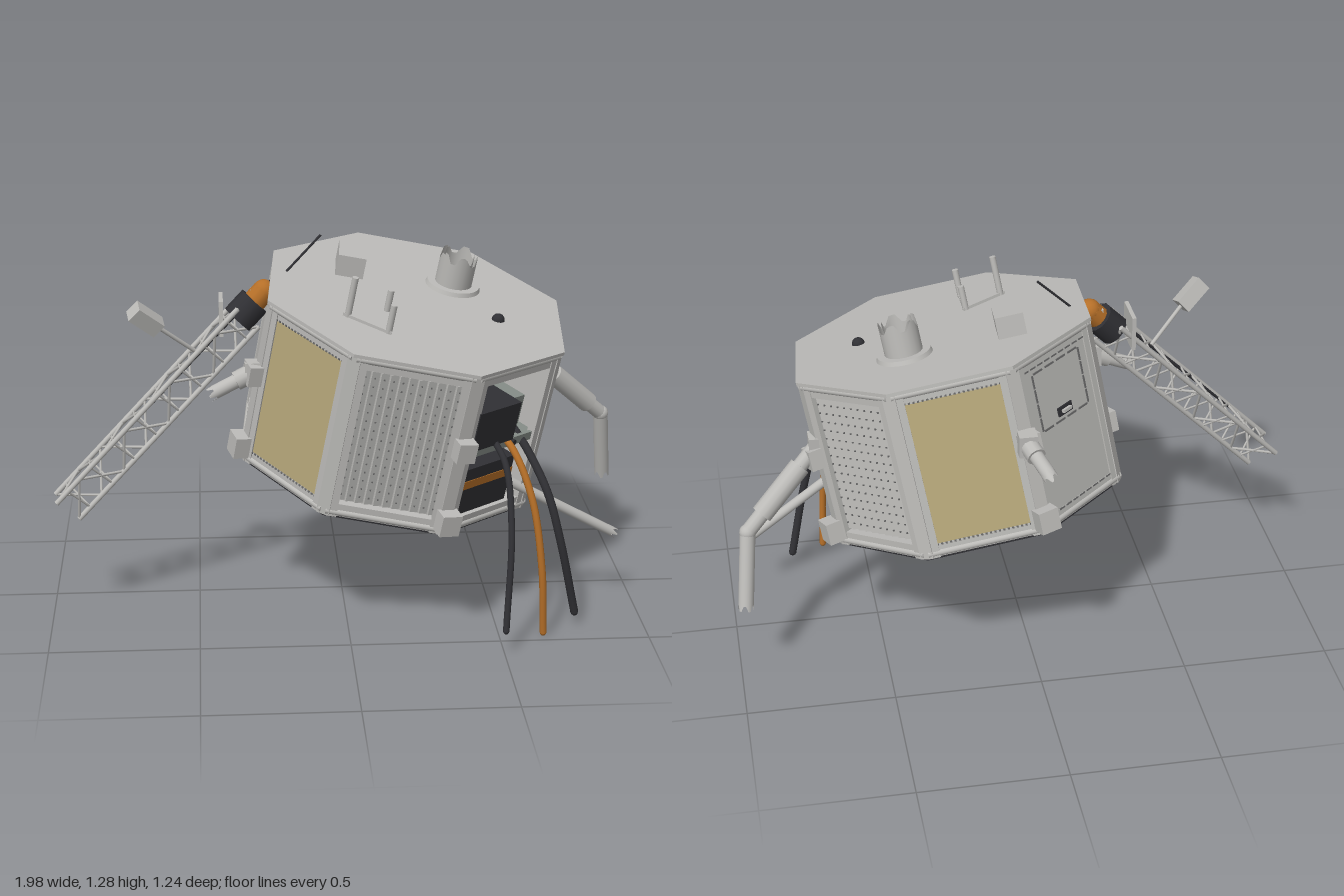
import * as THREE from 'three';
import { mergeGeometries } from 'three/addons/utils/BufferGeometryUtils.js';

const mat = (name, color) => {
  const m = new THREE.MeshStandardMaterial({ color, side: THREE.DoubleSide });
  m.name = name;
  return m;
};
const V = (x, y, z) => new THREE.Vector3(x, y, z);
const UP = V(0, 1, 0);
const rad = THREE.MathUtils.degToRad;

export function createModel() {
  const grey = mat('hull grey', 0xbcbbb8), gold = mat('foil gold', 0xb9aa7c);
  const dark = mat('dark plastic', 0x303034), orange = mat('orange', 0xb56f28);
  const shelfGrey = mat('shelf grey', 0x848c86), seam = mat('seam grey', 0x6a6a6a);

  const model = new THREE.Group();
  model.name = 'capsule';
  const R = 0.53, H = 0.6, START = 26.3;
  const APO = R * Math.cos(Math.PI / 8), W = 2 * R * Math.sin(Math.PI / 8);

  // tilted body frame; its origin is the centre of the roof
  const body = new THREE.Group();
  body.name = 'body';
  body.position.set(0.245, 1.07, 0.09);
  body.quaternion.setFromUnitVectors(UP, V(0.176, 1, 0.176).normalize());
  model.add(body);
  const inverse = body.quaternion.clone().invert();
  const toBody = (p) => p.sub(body.position).applyQuaternion(inverse);
  const onRoof = (x, z) => toBody(V(x, 1.129 - 0.176 * (x + z), z));

  const add = (parent, name, geo, material, x = 0, y = 0, z = 0) => {
    const m = new THREE.Mesh(geo, material);
    m.name = name;
    m.position.set(x, y, z);
    parent.add(m);
    return m;
  };
  const box = (parent, name, w, h, d, material, x, y, z) =>
    add(parent, name, new THREE.BoxGeometry(w, h, d), material, x, y, z);
  const place = (geo, a, b) => {
    const q = new THREE.Quaternion().setFromUnitVectors(UP, b.clone().sub(a).normalize());
    geo.applyQuaternion(q);
    const c = a.clone().add(b).multiplyScalar(0.5);
    return geo.translate(c.x, c.y, c.z);
  };
  const rodGeo = (a, b, r, sides = 12) => place(new THREE.CylinderGeometry(r, r, a.distanceTo(b), sides), a, b);
  const rod = (parent, name, a, b, r, material = grey) => add(parent, name, rodGeo(a, b, r), material);
  // open tube whose far end is torn into a zigzag
  const tornGeo = (a, b, r, tear) => {
    const L = a.distanceTo(b);
    const g = new THREE.CylinderGeometry(r, r, L, 20, 1, true);
    const p = g.attributes.position;
    for (let i = 0; i < 21; i++) if (i % 4 > 1) p.setY(i, L / 2 - tear);
    return place(g, a, b);
  };
  const tiles = (list) => mergeGeometries(list.map(([x, y, w, h]) => new THREE.BoxGeometry(w, h, 0.005).translate(x, y, 0)));
  // row of small marks around a rectangle
  const border = (w, h, n, a, b) => {
    const out = [];
    for (let i = 0; i < n; i++) {
      const t = (i + 0.5) / n - 0.5;
      for (const s of [-1, 1]) out.push([t * w, s * h / 2, a, b], [s * w / 2, t * h, b, a]);
    }
    return tiles(out);
  };

  // roof and floor
  const octagon = (name, r, h, y, material) => {
    const g = new THREE.CylinderGeometry(r, r, h, 8, 1, false, rad(90 - START)).toNonIndexed();
    g.computeVertexNormals();
    add(body, name, g, material, 0, y, 0);
  };
  octagon('roof', R + 0.006, 0.012, -0.006, grey);
  octagon('floor', R - 0.01, 0.012, -H + 0.004, dark);

  // corner posts, with bracket blocks on every second one
  for (let k = 0; k < 8; k++) {
    const a = rad(START + 45 * k);
    const corner = new THREE.Group();
    corner.name = 'corner' + k;
    corner.rotation.y = Math.PI / 2 - a;
    body.add(corner);
    box(corner, 'post', 0.045, H - 0.01, 0.03, grey, 0, -H / 2, R - 0.02);
    for (const s of [-1, 1]) {
      const edge = box(corner, 'postFlange', 0.028, H - 0.01, 0.03, grey, s * 0.026, -H / 2, R - 0.026);
      edge.rotation.y = s * Math.PI / 8;
    }
    if (k % 2) {
      box(corner, 'bracket', 0.07, 0.075, 0.07, grey, 0, -0.54, R + 0.005);
      box(corner, 'upperBracket', 0.065, 0.07, 0.06, grey, 0, -0.27, R + 0.005);
      box(corner, 'foot', 0.05, 0.06, 0.05, grey, 0, -H - 0.022, 0.28);
    }
  }

  // wall panels
  const kinds = ['bay', 'slats', 'foil', 'slats', 'hatch', 'foil', 'slats', 'foil'];
  const innerW = W - 0.07, innerH = H - 0.09;
  kinds.forEach((kind, k) => {
    const face = new THREE.Group();
    face.name = kind + 'Side' + k;
    const a = rad(START + 45 * k + 22.5);
    face.rotation.y = Math.PI / 2 - a;
    face.position.set(Math.cos(a) * APO, -H / 2, Math.sin(a) * APO);
    body.add(face);
    for (const s of [-1, 1]) {
      box(face, 'beam', W - 0.02, 0.045, 0.035, grey, 0, s * (H / 2 - 0.03), -0.02);
      add(face, 'beamRail', rodGeo(V(-W / 2 + 0.01, 0, 0), V(W / 2 - 0.01, 0, 0), 0.012), grey, 0, s * (H / 2 - 0.02), -0.008);
    }
    if (kind === 'foil') {
      box(face, 'foilPanel', innerW + 0.02, innerH + 0.02, 0.02, gold, 0, 0, -0.014);
      add(face, 'rivets', border(innerW - 0.01, innerH - 0.01, 22, 0.007, 0.006), seam, 0, 0, -0.003);
    } else if (kind === 'slats') {
      box(face, 'backing', innerW + 0.02, innerH + 0.02, 0.01, grey, 0, 0, -0.038);
      const n = 11, pitch = innerW / n, dots = [];
      for (let i = 0; i < n; i++) {
        const x = (i - (n - 1) / 2) * pitch;
        const slat = box(face, 'slat', pitch * 0.92, innerH - 0.03, 0.008, grey, x, 0, -0.024);
        slat.rotation.y = 0.4;
        for (let j = 0; j < 15; j++) dots.push([x, (j - 7) * 0.031, 0.005, 0.005]);
      }
      add(face, 'vents', tiles(dots), seam, 0, 0, -0.019);
    } else if (kind === 'hatch') {
      box(face, 'hatchPanel', innerW + 0.02, innerH + 0.02, 0.02, grey, 0, 0, -0.014);
      add(face, 'outerSeam', border(innerW - 0.01, innerH - 0.01, 9, 0.026, 0.005), seam, 0, 0, -0.003);
      add(face, 'doorSeam', border(0.24, 0.2, 4, 0.045, 0.006), seam, 0, 0.13, -0.003);
      box(face, 'latchPlate', 0.07, 0.03, 0.008, dark, 0, 0.06, -0.002);
      box(face, 'latch', 0.04, 0.01, 0.015, grey, 0, 0.06, 0.006);
    } else {
      // equipment bay
      box(face, 'backWall', 0.36, 0.56, 0.01, dark, 0, 0, -0.24);
      box(face, 'leftWall', 0.008, 0.56, 0.2, dark, -0.178, 0, -0.14);
      box(face, 'rightWall', 0.008, 0.56, 0.2, grey, 0.178, 0, -0.14);
      box(face, 'shelf', 0.36, 0.02, 0.22, shelfGrey, 0, -0.01, -0.125);
      box(face, 'shelfLip', 0.37, 0.03, 0.012, shelfGrey, 0, -0.01, -0.015);
      box(face, 'upperUnit', 0.2, 0.14, 0.17, dark, -0.06, 0.08, -0.08);
      box(face, 'sideUnit', 0.1, 0.11, 0.12, shelfGrey, 0.1, 0.06, -0.13);
      box(face, 'lowerUnit', 0.24, 0.17, 0.17, dark, -0.02, -0.16, -0.1);
      box(face, 'lowerUnitBand', 0.244, 0.03, 0.174, orange, -0.02, -0.135, -0.1);
      const knob = add(face, 'knob', new THREE.CylinderGeometry(0.01, 0.01, 0.012, 12), dark, 0.06, -0.01, -0.005);
      knob.rotation.x = Math.PI / 2;
    }
  });

  // roof fittings
  const at = (name, x, z) => {
    const g = new THREE.Group();
    g.name = name;
    g.position.copy(onRoof(x, z));
    body.add(g);
    return g;
  };
  const vent = at('ventPipe', 0.385, -0.075);
  add(vent, 'flange', new THREE.CylinderGeometry(0.09, 0.095, 0.014, 32), grey, 0, 0.007, 0);
  add(vent, 'pipe', tornGeo(V(0, 0, 0), V(0, 0.125, 0), 0.064, 0.028), grey);
  add(vent, 'pipeInner', tornGeo(V(0, 0, 0), V(0, 0.125, 0), 0.052, 0.028), grey);
  const block = at('roofBox', 0.03, -0.08);
  box(block, 'box', 0.095, 0.075, 0.135, grey, 0, 0.037, 0).rotation.y = -0.06;
  const dome = at('domeLight', 0.515, 0.145);
  add(dome, 'dome', new THREE.SphereGeometry(0.022, 16, 8, 0, Math.PI * 2, 0, Math.PI / 2), dark);

  const corners = [[-0.015, 0.294], [0.142, 0.215], [0.136, 0.388]].map(([x, z]) => onRoof(x, z));
  const tri = new THREE.Shape(corners.map((p) => new THREE.Vector2(p.x, -p.z)));
  const triGeo = new THREE.ExtrudeGeometry(tri, { depth: 0.01, bevelEnabled: false }).rotateX(-Math.PI / 2);
  add(body, 'triangleMount', triGeo, grey);
  const middle = corners[0].clone().add(corners[1]).add(corners[2]).divideScalar(3);
  [0.14, 0.085, 0.1].forEach((h, i) => {
    const p = corners[i].clone().lerp(middle, 0.16);
    rod(body, 'mountPin', p, p.clone().add(V(0, h, 0)), 0.011);
  });
  rod(model, 'whipAntenna', V(-0.19, 1.155, 0.015), V(-0.07, 1.275, -0.015), 0.004, dark);

  // jointed arm
  const A = V(0.69, 0.79, -0.115), B = V(0.945, 0.55, -0.24), C = V(0.972, 0.29, -0.315);
  const arm = new THREE.Group();
  arm.name = 'jointedArm';
  model.add(arm);
  rod(arm, 'upperArm', A, B, 0.026);
  rod(arm, 'sleeve', A.clone().lerp(B, 0.25), A.clone().lerp(B, 0.8), 0.036);
  add(arm, 'elbow', new THREE.SphereGeometry(0.028, 16, 10), grey, B.x, B.y, B.z);
  add(arm, 'forearm', tornGeo(B, C, 0.026, 0.02), grey);
  add(arm, 'shoulder', new THREE.BoxGeometry(0.06, 0.07, 0.06), grey, A.x, A.y, A.z);

  // broken stubs and strut
  const stub = (name, a, b, r, joint) => {
    add(model, name, tornGeo(a, b, r, 0.02), grey);
    if (!joint) return;
    add(model, name + 'Collar', rodGeo(a, a.clone().lerp(b, 0.4), r * 1.35), grey);
    box(model, name + 'Mount', 0.06, 0.075, 0.06, grey, a.x, a.y, a.z);
  };
  stub('backStub', V(0.045, 0.93, -0.46), V(-0.005, 0.885, -0.61), 0.024, true);
  stub('sideStub', V(-0.305, 0.865, 0.205), V(-0.455, 0.795, 0.23), 0.024, true);
  stub('looseStrut', V(0.5, 0.51, 0.27), V(0.935, 0.25, 0.175), 0.017, false);

  // lattice boom
  const boom = new THREE.Group();
  boom.name = 'latticeBoom';
  model.add(boom);
  const S = V(-0.335, 1.035, 0.085), E = V(-0.95, 0.405, 0.2);
  const dir = E.clone().sub(S).normalize();
  const side = V(0, 0, 1).addScaledVector(dir, -dir.z).normalize();
  const out = side.clone().cross(dir).normalize();
  const node = (t, i) => {
    const u = rad(90 + 120 * i);
    return S.clone().lerp(E, t).addScaledVector(out, 0.07 * Math.sin(u)).addScaledVector(side, 0.07 * Math.cos(u));
  };
  const bays = 8, braces = [];
  for (let i = 0; i < 3; i++) {
    rod(boom, 'rail', node(0, i), node(1, i), 0.009);
    for (let j = 0; j < bays; j++) {
      const [p, q] = j % 2 ? [i, i + 1] : [i + 1, i];
      braces.push(rodGeo(node(j / bays, p), node((j + 1) / bays, q), 0.005, 6));
      braces.push(rodGeo(node((j + 0.5) / bays, i), node((j + 0.5) / bays, i + 1), 0.004, 6));
    }
  }
  add(boom, 'braces', mergeGeometries(braces), grey);
  rod(boom, 'boomCable', node(0.02, 2).lerp(S, 0.3), node(0.9, 2), 0.006, dark);
  const along = (d) => S.clone().addScaledVector(dir, d);
  rod(boom, 'motor', along(0.03), along(-0.055), 0.056, dark);
  rod(boom, 'motorCap', along(-0.05), along(-0.1), 0.04, orange);
  const tip = along(-0.1);
  add(boom, 'motorTip', new THREE.SphereGeometry(0.04, 16, 10), orange, tip.x, tip.y, tip.z);
  rod(boom, 'motorAxle', along(-0.1), along(-0.15), 0.012, dark);
  box(boom, 'motorPlate', 0.014, 0.12, 0.13, grey, -0.41, 1.03, 0.08);
  box(boom, 'motorArm', 0.1, 0.03, 0.04, grey, -0.26, 1.1, 0.07);

  // sensor on the boom
  const f = V(-0.5, 0.92, 0.13), g = V(-0.625, 1.03, 0.205), h = V(-0.69, 1.085, 0.235);
  rod(boom, 'sensorRod', f, g, 0.007);
  add(boom, 'sensor', place(new THREE.BoxGeometry(0.055, g.distanceTo(h) + 0.02, 0.055), g, h), grey);

  // hanging cables
  const cable = (name, material, r, pts) => {
    const curve = new THREE.CatmullRomCurve3(pts.map((p) => V(...p)));
    add(model, name, new THREE.TubeGeometry(curve, 40, r, 10), material);
    for (const t of [0, 1]) {
      const c = curve.getPoint(t);
      add(model, name + 'End', new THREE.SphereGeometry(r * 0.95, 10, 6), material, c.x, c.y, c.z);
    }
  };
  cable('frontCable', dark, 0.011, [[0.46, 0.7, 0.4], [0.505, 0.62, 0.47], [0.52, 0.42, 0.55], [0.502, 0.085, 0.61]]);
  cable('orangeCable', orange, 0.012, [[0.48, 0.7, 0.32], [0.54, 0.64, 0.39], [0.6, 0.485, 0.45], [0.635, 0.25, 0.475], [0.648, 0.012, 0.462]]);
  cable('rearCable', dark, 0.014, [[0.54, 0.7, 0.27], [0.595, 0.62, 0.32], [0.66, 0.485, 0.39], [0.705, 0.32, 0.41], [0.767, 0.045, 0.372]]);

  return model;
}
